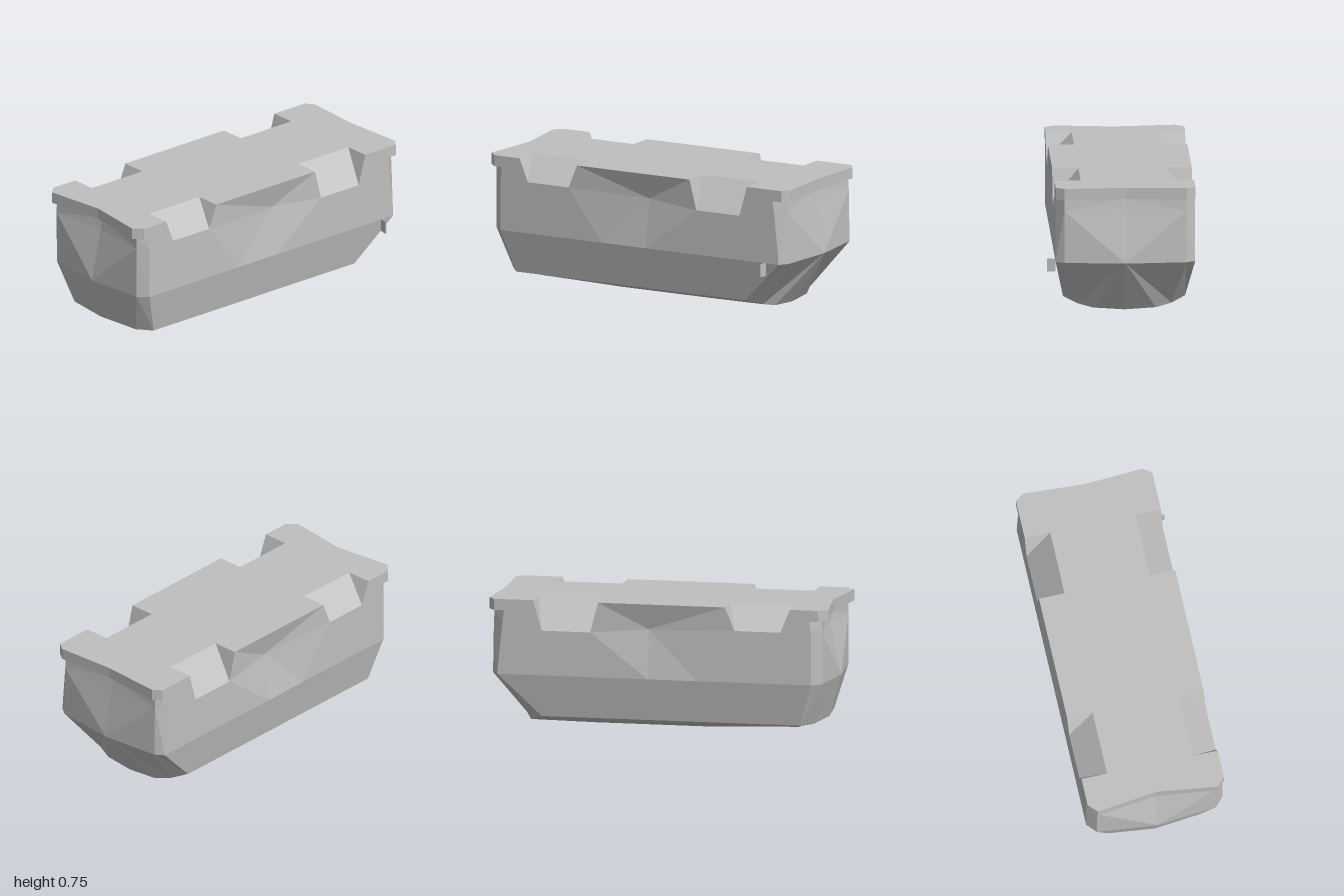
import * as THREE from 'three';

const OFFSET = -0.025; // the tub sits slightly to one side of the small tab

// Collects mirrored flat polygons for one part; "out" hints the outward direction.
function makePart() {
  const data = [];
  const v = (p) => new THREE.Vector3(...p);
  const fan = (out, pts) => {
    const p = pts.map(v);
    const n = p[1].clone().sub(p[0]).cross(p[2].clone().sub(p[0]));
    const flip = n.dot(v(out)) < 0;
    for (let i = 1; i < p.length - 1; i++) {
      const tri = flip ? [p[0], p[i + 1], p[i]] : [p[0], p[i], p[i + 1]];
      tri.forEach((q) => data.push(q.x, q.y, q.z));
    }
  };
  return {
    poly(out, ...pts) {
      const mirror = ([x, y, z]) => [-x, y, z];
      fan(out, pts);
      fan(mirror(out), pts.map(mirror));
    },
    mesh(name, material) {
      const g = new THREE.BufferGeometry();
      g.setAttribute('position', new THREE.Float32BufferAttribute(data, 3));
      g.computeVertexNormals();
      const m = new THREE.Mesh(g, material);
      m.name = name;
      return m;
    },
  };
}

export function createModel() {
  const group = new THREE.Group();
  group.name = 'tub';
  const grey = new THREE.MeshStandardMaterial({ color: 0xbfbfbf, flatShading: true });
  grey.name = 'grey';

  const OUT = [1, 0, 0], UP = [0, 1, 0], DOWN = [0, -1, 0];
  const TOP = 0.755, LIP = 0.69;
  // z of centre, corner and side columns at heights 0.69, 0.62 and 0.32
  const column = (zs, y) => [[0, y, zs[0]], [0.35, y, zs[1]], [0.4, y, zs[2]]];
  const front = [
    column([0.925, 0.965, 0.9], LIP),
    column([0.935, 0.967, 0.91], 0.62),
    column([1.0, 0.965, 0.91], 0.32),
  ];
  const back = [
    column([-0.94, -0.955, -0.89], LIP),
    column([-0.95, -0.96, -0.9], 0.62),
    column([-1.0, -0.965, -0.93], 0.32),
  ];
  const frontFoot = [[0, 0.075, 0.93], [0.27, 0.075, 0.9], [0.35, 0.075, 0.835]];
  const backFoot = [[0, 0.015, -0.79], [0.18, 0.025, -0.78], [0.27, 0.045, -0.75], [0.35, 0.075, -0.68]];

  // End walls, faceted around a protruding middle point, with bevelled corners
  const ends = makePart();
  for (const [[a, b, c], s] of [[front, 1], [back, -1]]) {
    const dir = [0, 0, s], diag = [1, 0, s];
    ends.poly(dir, a[0], a[1], b[1], b[0]);
    ends.poly(dir, c[0], c[1], b[1], b[0]);
    ends.poly(diag, a[1], a[2], b[2], b[1]);
    ends.poly(diag, b[1], b[2], c[2], c[1]);
  }
  ends.poly([0, 0, 1], front[2][0], frontFoot[0], frontFoot[1], front[2][1]);
  ends.poly([1, 0, 1], front[2][1], front[2][2], frontFoot[2], frontFoot[1]);
  ends.poly([0, 0, -1], back[2][0], backFoot[0], backFoot[1], backFoot[2], back[2][1]);
  ends.poly([1, 0, -1], back[2][1], back[2][2], backFoot[3], backFoot[2]);
  group.add(ends.mesh('endWalls', grey));

  // Side walls with a shallow dent between the notches
  const sides = makePart();
  const wall = (...zy) => sides.poly(OUT, ...zy.map(([z, y]) => [0.4, y, z]));
  wall([0.785, TOP], [0.73, 0.62], [0.91, 0.62], [0.9, LIP], [0.95, LIP], [0.95, TOP]);
  wall([0.91, 0.32], [0.91, 0.62], [0.46, 0.62], [0.24, 0.32]);
  wall([-0.72, TOP], [-0.67, 0.58], [-0.9, 0.62], [-0.89, LIP], [-0.95, LIP], [-0.95, TOP]);
  wall([-0.05, 0.32], [-0.385, 0.58], [-0.67, 0.58], [-0.9, 0.62], [-0.93, 0.32]);
  const dentRim = [[0.405, TOP], [-0.34, TOP], [-0.385, 0.58], [-0.05, 0.32], [0.24, 0.32], [0.46, 0.62]]
    .map(([z, y]) => [0.4, y, z]);
  dentRim.forEach((p, i) => sides.poly(OUT, [0.36, 0.605, -0.05], p, dentRim[(i + 1) % dentRim.length]));
  sides.poly(OUT, front[2][2], frontFoot[2], backFoot[3], back[2][2]);
  group.add(sides.mesh('sideWalls', grey));

  // Overhanging rim at both ends
  const rim = makePart();
  const rimZ = [[0.955, 1.0, 0.95], [-0.965, -0.985, -0.95]];
  [front, back].forEach((end, k) => {
    const hi = column(rimZ[k], TOP), lo = column(rimZ[k], LIP);
    for (let i = 0; i < 2; i++) {
      rim.poly([i, 0, k ? -1 : 1], hi[i], hi[i + 1], lo[i + 1], lo[i]);
      rim.poly(DOWN, lo[i], lo[i + 1], end[0][i + 1], end[0][i]);
    }
  });
  group.add(rim.mesh('endRims', grey));

  // Flat deck
  const deck = makePart();
  const flat = (...xz) => deck.poly(UP, ...xz.map(([x, z]) => [x, TOP, z]));
  flat([0.25, 0.785], [0, 0.785], [0, 0.955], [0.35, 1.0], [0.4, 0.95], [0.4, 0.785]);
  flat([0, 0.785], [0.25, 0.785], [0.25, 0.405], [0, 0.405]);
  flat([0, 0.405], [0.4, 0.405], [0.4, -0.34], [0, -0.34]);
  flat([0, -0.34], [0.25, -0.34], [0.25, -0.72], [0, -0.72]);
  flat([0.25, -0.72], [0, -0.72], [0, -0.965], [0.35, -0.985], [0.4, -0.95], [0.4, -0.72]);
  group.add(deck.mesh('deck', grey));

  // Sloped notches: front z, back z, lower front z, lower back z, lower y
  const notches = makePart();
  for (const [f, b, lf, lb, y] of [[0.785, 0.405, 0.73, 0.46, 0.62], [-0.34, -0.72, -0.385, -0.67, 0.58]]) {
    notches.poly([1, 1, 0], [0.25, TOP, f], [0.25, TOP, b], [0.4, y, lb], [0.4, y, lf]);
    notches.poly([0, 0, -1], [0.25, TOP, f], [0.4, TOP, f], [0.4, y, lf]);
    notches.poly([0, 0, 1], [0.25, TOP, b], [0.4, TOP, b], [0.4, y, lb]);
  }
  group.add(notches.mesh('notches', grey));

  // Shallow keel, lofted along z
  const keel = makePart();
  const section = (z) => [[0, 0, z], [0.18, 0.02, z], [0.27, 0.045, z], [0.35, 0.075, z]];
  const bow = [[0, 0.03, 0.8], [0.18, 0.038, 0.79], [0.27, 0.055, 0.8], frontFoot[2]];
  const stations = [bow, section(0.25), section(-0.4), backFoot];
  for (let s = 0; s < 3; s++) {
    for (let i = 0; i < 3; i++) {
      keel.poly(DOWN, stations[s][i], stations[s][i + 1], stations[s + 1][i + 1], stations[s + 1][i]);
    }
  }
  keel.poly(DOWN, frontFoot[0], bow[0], bow[1], bow[2], frontFoot[1]);
  keel.poly(DOWN, frontFoot[1], bow[2], frontFoot[2]);
  group.add(keel.mesh('keel', grey));

  // Small tab on the left side near the back
  const tab = new THREE.Mesh(new THREE.BoxGeometry(0.05, 0.075, 0.005), grey);
  tab.name = 'sideTab';
  tab.position.set(0.422, 0.285, -0.84);
  tab.rotation.y = -0.15;
  group.add(tab);

  group.children.forEach((m) => { m.position.x += OFFSET; });
  return group;
}
